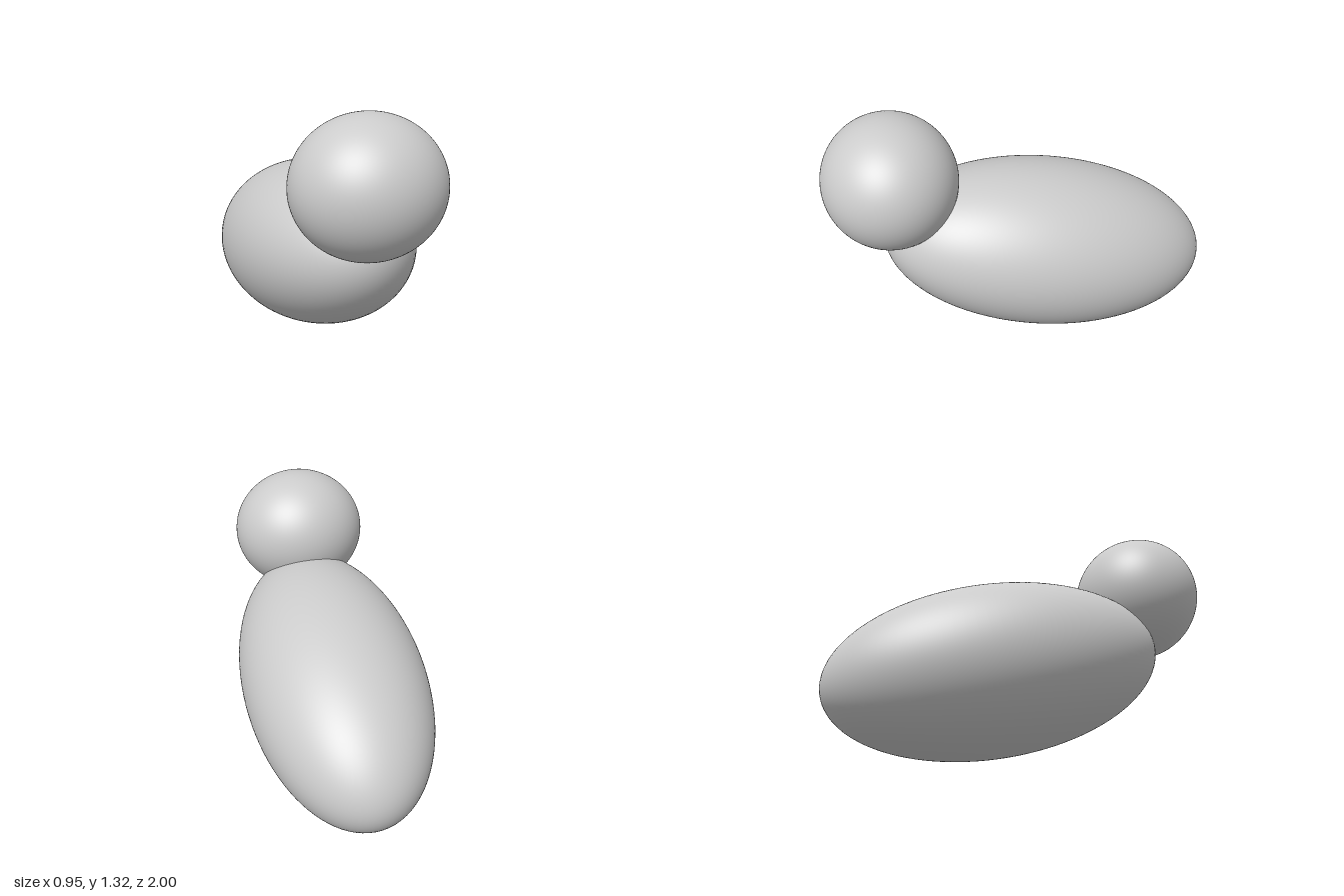
import * as THREE from 'three';

const material = new THREE.MeshStandardMaterial({ color: 0xcccccc });

// Smooth ellipsoid with given radii, centre and pitch about x
function ellipsoid(name, radii, centre, pitch = 0) {
  const geometry = new THREE.SphereGeometry(1, 96, 64);
  geometry.scale(...radii);
  const mesh = new THREE.Mesh(geometry, material);
  mesh.name = name;
  mesh.position.set(...centre);
  mesh.rotation.x = pitch;
  return mesh;
}

export function createModel() {
  const group = new THREE.Group();
  group.name = 'model';
  // Long body, raised at the front
  group.add(ellipsoid('body', [0.477, 0.443, 0.886], [0, 0.479, -0.133], -0.237));
  // Slightly wide head sunk into the front of the body
  group.add(ellipsoid('head', [0.357, 0.33, 0.333], [0, 0.992, 0.667]));
  return group;
}
